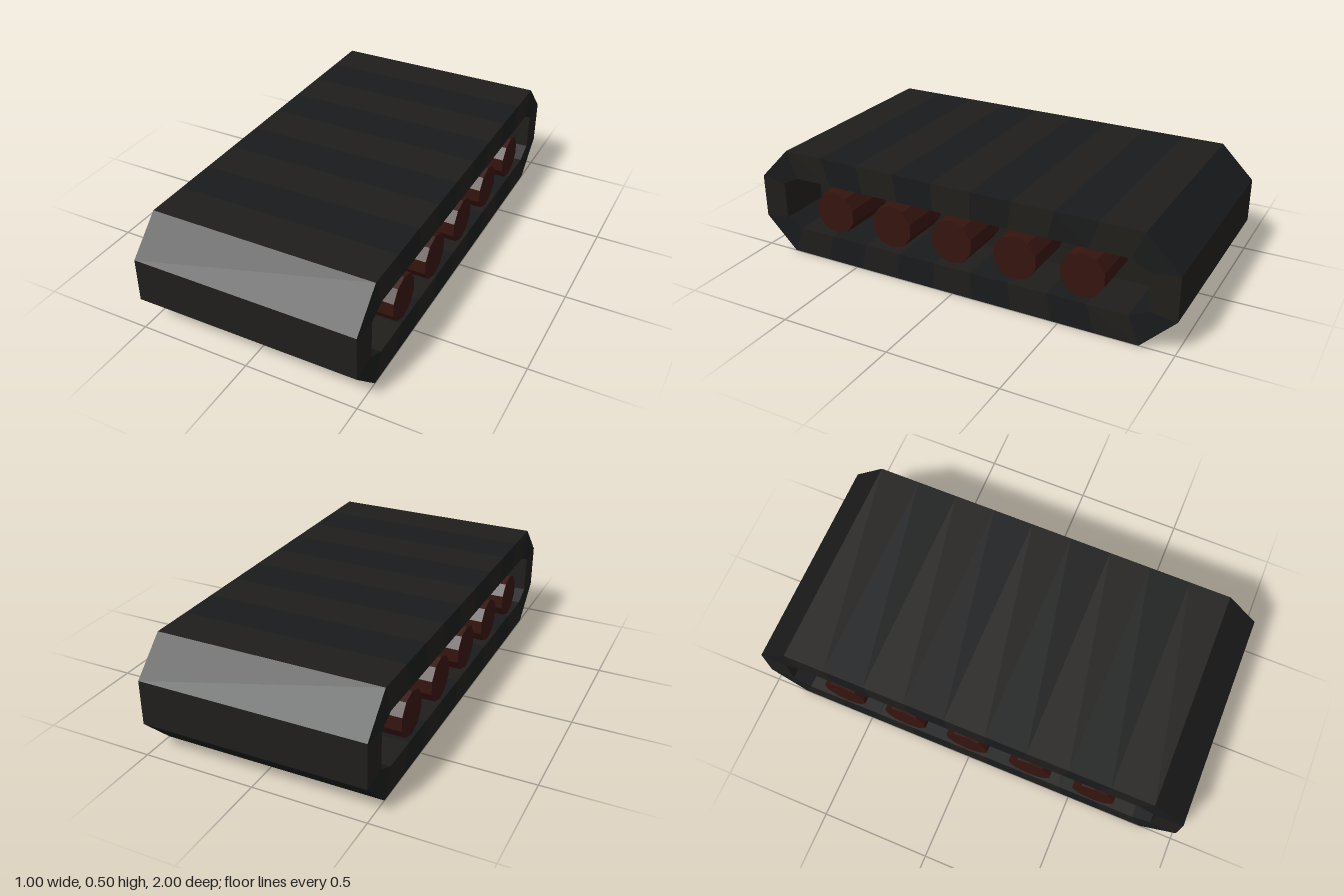
import * as THREE from 'three';

const darkLink = new THREE.MeshStandardMaterial({ color: 0x191a1b, flatShading: true });
const brownLink = new THREE.MeshStandardMaterial({ color: 0x201e1b, flatShading: true });
const wheelRed = new THREE.MeshStandardMaterial({ color: 0x35140f, flatShading: true });

// Corners of the belt loop as [z, y]: outer surface and matching inner surface
const mirrorLoop = (q) => [
  ...q, ...q.map(([z, y]) => [-z, y]).reverse(),
  ...q.map(([z, y]) => [-z, 0.5 - y]), ...q.map(([z, y]) => [z, 0.5 - y]).reverse(),
];
const OUTER = mirrorLoop([[1, 0.35], [0.85, 0.5]]);
const INNER = mirrorLoop([[0.88, 0.335], [0.8, 0.375]]);

// Extrude a [z, y] outline across x, centred on x = 0
function prism(points, width, material, name) {
  const shape = new THREE.Shape(points.map(([z, y]) => new THREE.Vector2(z, y)));
  const geo = new THREE.ExtrudeGeometry(shape, { depth: width, bevelEnabled: false });
  geo.rotateY(-Math.PI / 2).translate(width / 2, 0, 0);
  const mesh = new THREE.Mesh(geo, material);
  mesh.name = name;
  return mesh;
}

const mix = (a, b, t) => [a[0] + (b[0] - a[0]) * t, a[1] + (b[1] - a[1]) * t];

export function createModel() {
  const model = new THREE.Group();
  model.name = 'trackUnit';

  // Belt of alternating links: nine on each long run, one on each end facet
  const belt = new THREE.Group();
  belt.name = 'trackBelt';
  let count = 0;
  for (let i = 0; i < 8; i++) {
    const j = (i + 1) % 8;
    const links = i % 4 === 1 ? 9 : 1;
    for (let k = 0; k < links; k++, count++) {
      const t0 = k / links, t1 = (k + 1) / links;
      belt.add(prism([
        mix(OUTER[i], OUTER[j], t0), mix(OUTER[i], OUTER[j], t1),
        mix(INNER[i], INNER[j], t1), mix(INNER[i], INNER[j], t0),
      ], 1, count % 2 ? brownLink : darkLink, 'trackLink'));
    }
  }
  model.add(belt);

  // Recessed web closing the inside of the loop
  model.add(prism(INNER, 0.5, brownLink, 'innerWeb'));

  // Road wheels across the full width
  const wheelGeo = new THREE.CylinderGeometry(0.1, 0.1, 1, 10).rotateZ(Math.PI / 2).rotateX(Math.PI / 2);
  for (let i = -2; i <= 2; i++) {
    const wheel = new THREE.Mesh(wheelGeo, wheelRed);
    wheel.name = 'roadWheel';
    wheel.position.set(0, 0.25, i * 0.3);
    model.add(wheel);
  }
  return model;
}
